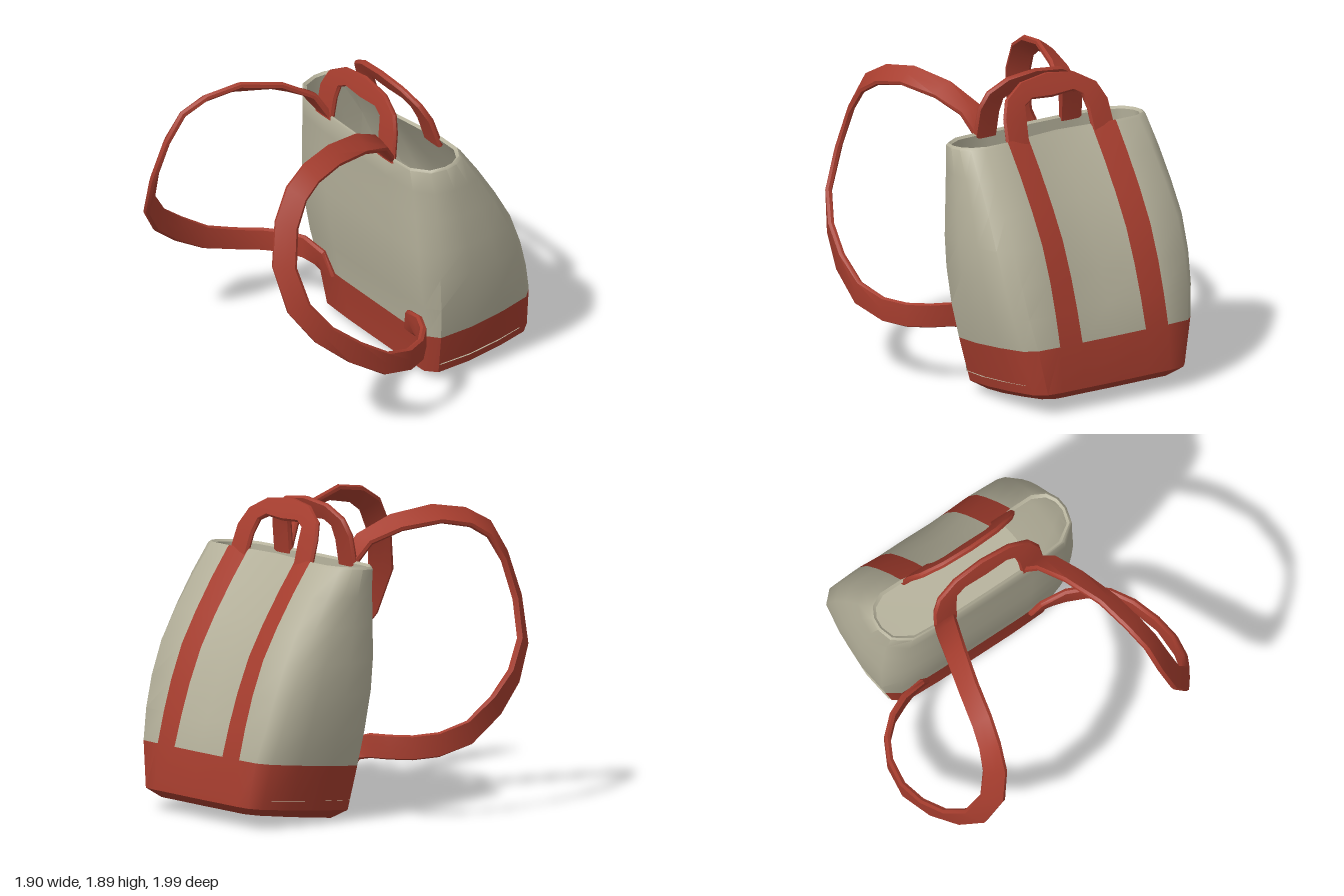
import * as THREE from 'three';
import { toCreasedNormals } from 'three/addons/utils/BufferGeometryUtils.js';

const canvas = new THREE.MeshStandardMaterial({ color: 0xb5b19b });
canvas.name = 'canvas';
const leather = new THREE.MeshStandardMaterial({ color: 0xa63d2e });
leather.name = 'leather';
const V = (x, y, z) => new THREE.Vector3(x, y, z);
const lerp = THREE.MathUtils.lerp;

// Skin a list of equal-length rings; pick(row, column) chooses material 0 or 1
function loft(rings, crease, pick = () => 0) {
  const n = rings[0].length;
  const lists = [[], []];
  for (let i = 0; i < rings.length - 1; i++) {
    for (let j = 0; j < n; j++) {
      const k = (j + 1) % n;
      const a = i * n + j, b = i * n + k, c = a + n, d = b + n;
      lists[pick(i, j)].push(a, b, d, a, d, c);
    }
  }
  const g = new THREE.BufferGeometry().setFromPoints(rings.flat());
  g.setIndex([...lists[0], ...lists[1]]);
  g.addGroup(0, lists[0].length, 0);
  g.addGroup(lists[0].length, lists[1].length, 1);
  return toCreasedNormals(g, crease);
}

// Flat webbing through stations { c: centre, w: half-width vector }
function ribbon(name, stations, thick) {
  const section = [[1, 0], [0.88, 1], [0, 1.15], [-0.88, 1], [-1, 0], [-0.88, -1], [0, -1.15], [0.88, -1]];
  const last = stations.length - 1;
  const rings = stations.map(({ c, w }, i) => {
    const t = stations[Math.min(i + 1, last)].c.clone().sub(stations[Math.max(i - 1, 0)].c);
    const nrm = t.cross(w).normalize().multiplyScalar(thick);
    return section.map(([a, b]) => c.clone().addScaledVector(w, a).addScaledVector(nrm, b));
  });
  rings.unshift(section.map(() => stations[0].c.clone()));
  rings.push(section.map(() => stations[last].c.clone()));
  const mesh = new THREE.Mesh(loft(rings, 0.8), leather);
  mesh.name = name;
  return mesh;
}

// Half outline from front centre to back centre: [width fraction, depth fraction].
// The two stripe edges on the back keep a fixed x.
const STRIPE = { 8: 0.4, 9: 0.235 };
const boxy = [[0, 0], [0.45, 0], [0.84, 0.01], [0.96, 0.08], [1, 0.35], [0.985, 0.65], [0.94, 0.9], [0.84, 0.985], [0, 1], [0, 1.0], [0, 1.005]];
const mouth = [[0, 0], [0.45, 0.005], [0.8, 0.05], [0.96, 0.25], [1, 0.5], [0.99, 0.7], [0.94, 0.87], [0.82, 0.99], [0, 0.99], [0, 0.93], [0, 0.84]];

function bagRing([w, zf, yf, zb, yb, k]) {
  const half = boxy.map(([u, v], i) => {
    const x = STRIPE[i] ?? w * lerp(u, mouth[i][0], k);
    const d = lerp(v, mouth[i][1], k);
    return V(x, lerp(yf, yb, d), lerp(zf, zb, d));
  });
  const other = half.slice(1, -1).reverse().map((p) => V(-p.x, p.y, p.z));
  return [...half, ...other];
}

function makeBag() {
  // [half width, front z, front y, back z, back y, mouth blend]
  const rows = [
    [0.5, -0.28, 0.0, -0.94, 0.08, 0],
    [0.595, -0.215, 0.055, -0.995, 0.13, 0],
    [0.66, -0.19, 0.33, -0.97, 0.41, 0],
    [0.7, -0.145, 0.55, -0.925, 0.6, 0.15],
    [0.722, -0.105, 0.78, -0.87, 0.79, 0.3],
    [0.73, -0.088, 0.97, -0.79, 1.0, 0.45],
    [0.718, -0.078, 1.2, -0.685, 1.19, 0.6],
    [0.705, -0.07, 1.38, -0.565, 1.38, 0.8],
    [0.69, -0.06, 1.52, -0.445, 1.55, 1],
    // rolled rim, then the lining
    [0.675, -0.068, 1.533, -0.432, 1.565, 1],
    [0.66, -0.085, 1.52, -0.415, 1.55, 1],
    [0.69, -0.105, 1.2, -0.655, 1.19, 0.6],
    [0.7, -0.13, 0.8, -0.84, 0.8, 0.3],
    [0.62, -0.22, 0.12, -0.94, 0.18, 0],
  ];
  const rings = rows.map(bagRing);
  const n = rings[0].length;
  rings.unshift(Array.from({ length: n }, () => V(0, 0.02, -0.6)));
  rings.push(Array.from({ length: n }, () => V(0, 0.14, -0.58)));
  // leather base, and two stripes running up the back
  const pick = (i, j) => (i < 3 || (i < 10 && (j === 8 || j === 11)) ? 1 : 0);
  const bag = new THREE.Mesh(loft(rings, 0.75, pick), [canvas, leather]);
  bag.name = 'bag';
  return bag;
}

// Carry handle: outer and inner edge of half the arch, with z at each station
function makeHandle(name, zs) {
  const outer = [[0.4, 1.5], [0.385, 1.69], [0.335, 1.79], [0.2, 1.865], [0, 1.89]];
  const inner = [[0.235, 1.5], [0.225, 1.65], [0.21, 1.735], [0.15, 1.765], [0, 1.755]];
  const lean = (y) => lerp(zs[0], zs[1], Math.max(0, (y - 1.5) / 0.39) ** zs[2]);
  const half = outer.map(([x, y], i) => {
    const o = V(x, y, lean(y)), p = V(inner[i][0], inner[i][1], lean(inner[i][1]));
    return { c: o.clone().add(p).multiplyScalar(0.5), w: o.sub(p).multiplyScalar(0.5) };
  });
  const flip = (v) => V(-v.x, v.y, v.z);
  const other = half.slice(0, -1).reverse().map(({ c, w }) => ({ c: flip(c), w: flip(w) }));
  return ribbon(name, [...half, ...other], 0.017);
}

// Shoulder strap: centre and width direction, twisting from flat to upright
function makeStrap(name, side) {
  const path = [
    [0.32, 1.52, -0.075, 1, 0, 0],
    [0.365, 1.655, 0.01, 0.95, -0.2, 0],
    [0.43, 1.745, 0.2, 0.85, -0.45, 0],
    [0.505, 1.785, 0.45, 0.8, -0.6, 0],
    [0.55, 1.75, 0.65, 0.75, -0.6, -0.2],
    [0.585, 1.67, 0.785, 0.7, -0.5, -0.5],
    [0.615, 1.5, 0.88, 0.75, -0.25, -0.65],
    [0.67, 1.25, 0.935, 0.7, 0, -0.75],
    [0.77, 1.0, 0.9, 0.55, 0.4, -0.75],
    [0.85, 0.81, 0.77, 0.4, 0.65, -0.65],
    [0.91, 0.655, 0.585, 0.2, 0.85, -0.5],
    [0.93, 0.515, 0.37, 0, 0.97, -0.2],
    [0.89, 0.455, 0.17, 0, 1, 0],
    [0.815, 0.44, 0.03, 0, 1, 0],
    [0.71, 0.44, -0.065, 0, 1, 0],
    [0.59, 0.44, -0.12, 0, 1, 0],
    [0.475, 0.41, -0.15, -0.6, 0.8, 0],
    [0.44, 0.32, -0.18, -1, 0, 0],
  ];
  const stations = path.map(([x, y, z, a, b, c]) => ({
    c: V(x * side, y, z),
    w: V(a * side, b, c).setLength(0.076),
  }));
  return ribbon(name, stations, 0.018);
}

export function createModel() {
  const model = new THREE.Group();
  model.name = 'backpack';
  model.add(
    makeBag(),
    makeHandle('frontHandle', [-0.075, -0.16, 1.6]),
    makeHandle('backHandle', [-0.425, -0.255, 1.4]),
    makeStrap('leftStrap', 1),
    makeStrap('rightStrap', -1),
  );
  return model;
}
